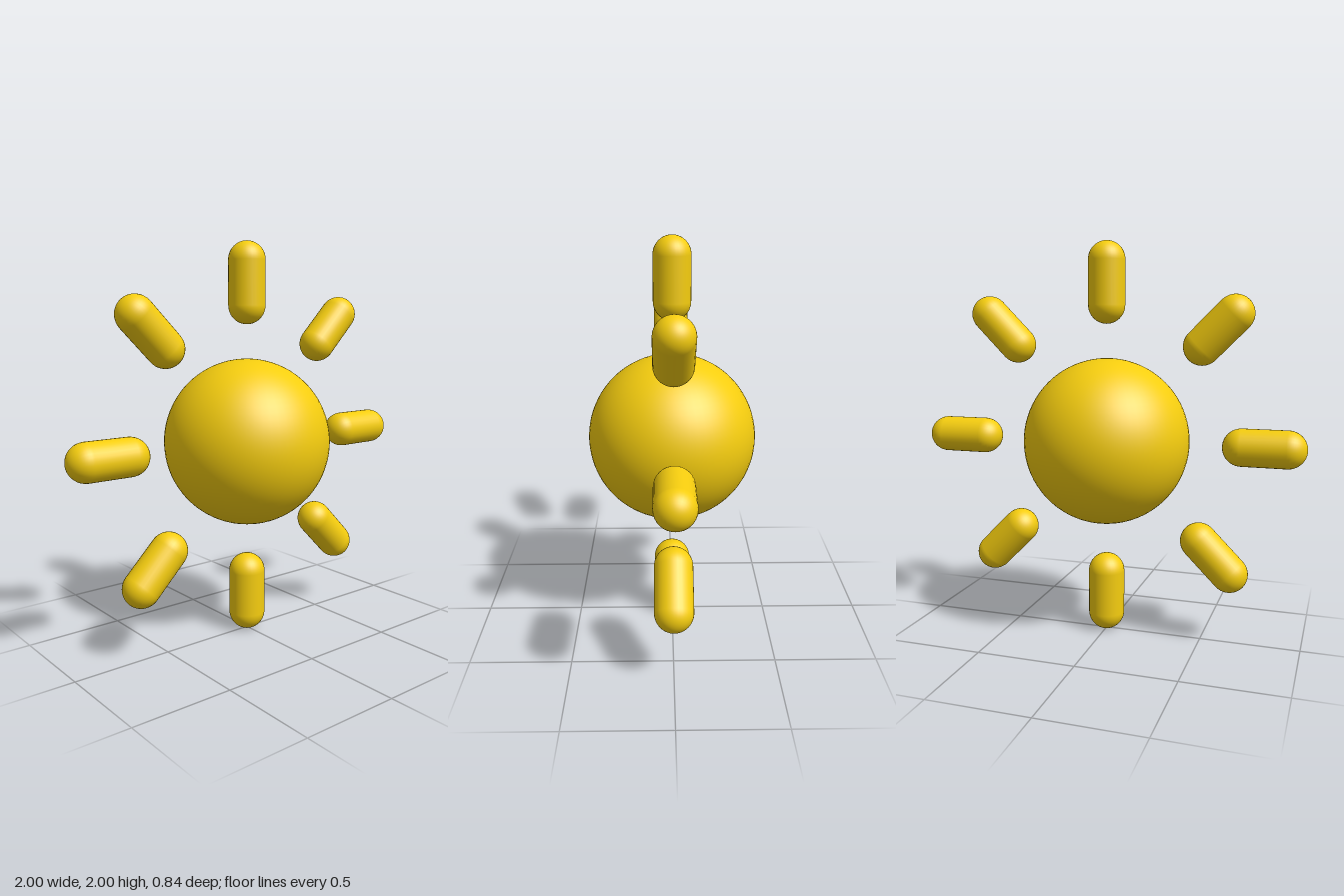
import * as THREE from 'three';

const CENTER_Y = 1;
const CORE_RADIUS = 0.422;
const RAY_COUNT = 8;
const RAY_RADIUS = 0.093;
const RAY_INNER = 0.593;
const RAY_OUTER = 1;

export function createModel() {
  const sun = new THREE.Group();
  sun.name = 'sun';
  const yellow = new THREE.MeshStandardMaterial({ color: 0xf5cd0f });

  // Round core
  const core = new THREE.Mesh(new THREE.SphereGeometry(CORE_RADIUS, 64, 40), yellow);
  core.name = 'core';
  core.position.y = CENTER_Y;
  sun.add(core);

  // Ring of capsule rays, each pointing away from the core
  const straight = RAY_OUTER - RAY_INNER - 2 * RAY_RADIUS;
  const rayGeometry = new THREE.CapsuleGeometry(RAY_RADIUS, straight, 12, 32);
  const distance = (RAY_INNER + RAY_OUTER) / 2;
  for (let i = 0; i < RAY_COUNT; i++) {
    const angle = (i / RAY_COUNT) * Math.PI * 2;
    const ray = new THREE.Mesh(rayGeometry, yellow);
    ray.name = `ray${i + 1}`;
    ray.position.set(-Math.sin(angle) * distance, CENTER_Y + Math.cos(angle) * distance, 0);
    ray.rotation.z = angle;
    sun.add(ray);
  }

  return sun;
}
